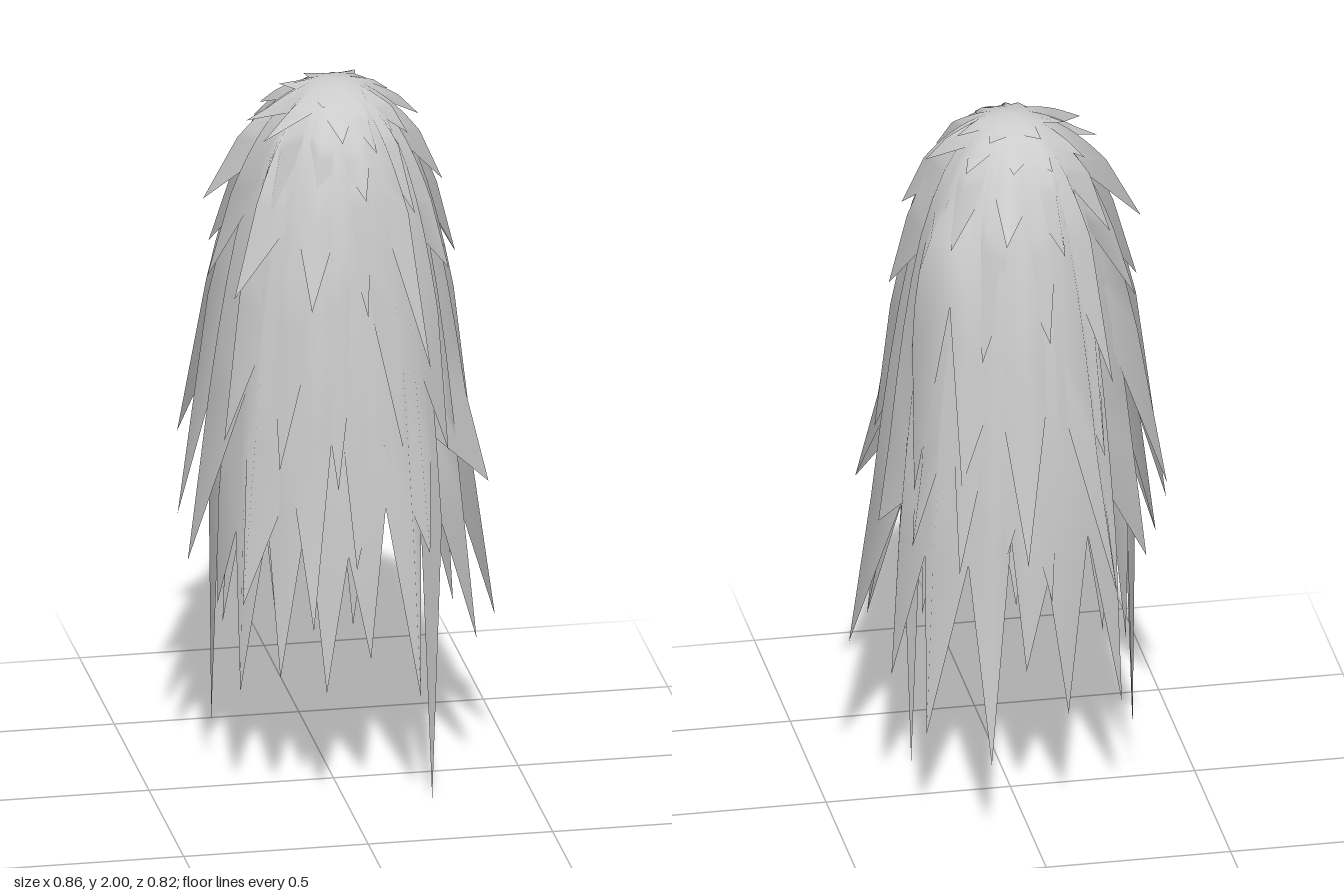
import * as THREE from 'three';

const TAU = Math.PI * 2;
const ROWS = 10;
const { smoothstep } = THREE.MathUtils;

// Radius of the hanging dome at a given drop below the crown
const domeRadius = (drop) => 0.29 * (1 - Math.exp(-2.6 * Math.pow(drop, 0.55))) + 0.045 * drop;

// One shaggy layer: a pleated dome split into pointed locks.
// tips: lock ends [x, y, z]; notch: height where locks part; vary: notch unevenness
function lockLayer(name, { scale, notch, vary, tips, bulge = 0 }) {
  const locks = tips
    .map(([x, y, z]) => ({ x, y, z, a: (Math.atan2(z, x) + TAU) % TAU }))
    .sort((p, q) => p.a - q.a);
  const n = locks.length;

  // Alternating columns: even = lock middle flaring toward its tip, odd = notch between locks
  const columns = [];
  const notchDrop = (i) => 2 - notch + vary * Math.sin(i * 2.4 + n);
  locks.forEach((lock, i) => {
    const nextA = i + 1 < n ? locks[i + 1].a : locks[0].a + TAU;
    const drop = (notchDrop((i + n - 1) % n) + notchDrop(i)) / 2;
    const flare = 0.4 * Math.max(0, Math.hypot(lock.x, lock.z) - domeRadius(drop));
    columns.push({ a: lock.a, drop, ridge: 1.03, flare });
    columns.push({ a: (lock.a + nextA) / 2, drop: notchDrop(i), ridge: 0.97, flare: 0 });
  });
  const m = columns.length;

  const positions = [];
  const index = [];
  for (let k = 0; k <= ROWS; k++) {
    const t = (k / ROWS) ** 2;
    for (const c of columns) {
      const drop = c.drop * t;
      // Local swelling on one side of the layer, fading out downward
      const away = Math.atan2(Math.sin(c.a - 5.68), Math.cos(c.a - 5.68));
      const swell = bulge * Math.exp(-((away / 0.3) ** 2))
        * smoothstep(drop, 0.15, 0.34) * (1 - smoothstep(drop, 0.34, 0.95));
      const r = domeRadius(drop) * scale * c.ridge + c.flare * t + swell;
      positions.push(r * Math.cos(c.a), 2 - drop, r * Math.sin(c.a));
    }
  }
  for (let k = 0; k < ROWS; k++) {
    for (let j = 0; j < m; j++) {
      const a = k * m + j, b = k * m + ((j + 1) % m);
      if (k > 0) index.push(a, b, a + m);
      index.push(b, b + m, a + m);
    }
  }
  // Pointed ends
  const edge = ROWS * m;
  locks.forEach((lock, i) => {
    const tip = positions.length / 3;
    positions.push(lock.x, lock.y, lock.z);
    const mid = edge + i * 2;
    const left = edge + ((i * 2 - 1 + m) % m);
    index.push(left, mid, tip, mid, mid + 1, tip);
  });

  const geometry = new THREE.BufferGeometry();
  geometry.setAttribute('position', new THREE.Float32BufferAttribute(positions, 3));
  geometry.setIndex(index);
  geometry.computeVertexNormals();
  const mesh = new THREE.Mesh(
    geometry,
    new THREE.MeshStandardMaterial({ color: 0xcccccc, side: THREE.DoubleSide })
  );
  mesh.name = name;
  return mesh;
}

// Layers from the longest and innermost to the small crown tuft
const LAYERS = {
  longLocks: {
    scale: 0.99, notch: 0.82, vary: 0.07,
    tips: [
      [0.43, 0.45, 0.04], [0.35, 0.45, 0.2], [0.23, 0, 0.2], [0.17, 0.35, 0.36], [0.04, 0.46, 0.33],
      [-0.08, 0.37, 0.33], [-0.2, 0.41, 0.3], [-0.29, 0.34, 0.2], [-0.33, 0.55, 0.08],
      [-0.32, 0.17, -0.06], [-0.28, 0.5, -0.17], [-0.25, 0.36, -0.27], [-0.1, 0.35, -0.3],
      [0.02, 0.5, -0.33], [0.13, 0.27, -0.41], [0.28, 0.31, -0.27], [0.35, 0.43, -0.14],
    ],
  },
  middleLocks: {
    scale: 1.0, notch: 1.1, vary: 0.15, bulge: 0.04,
    tips: [
      [0.39, 0.88, 0.16], [0.2, 0.75, 0.33], [0, 0.72, 0.34], [-0.13, 0.58, 0.41], [-0.3, 0.62, 0.29],
      [-0.41, 0.68, 0.08], [-0.33, 0.75, -0.2], [-0.21, 0.75, -0.41], [-0.05, 0.7, -0.33],
      [0.1, 0.75, -0.33], [0.2, 0.8, -0.32], [0.31, 0.85, -0.23], [0.37, 0.85, -0.06],
    ],
  },
  outerLocks: {
    scale: 1.01, notch: 1.42, vary: 0.12, bulge: 0.07,
    tips: [
      [0.35, 1.05, 0.1], [0.27, 1, 0.22], [0.13, 1.05, 0.31], [-0.05, 0.95, 0.34], [-0.2, 1, 0.29],
      [-0.33, 1.05, 0.18], [-0.43, 0.8, 0.04], [-0.39, 0.95, -0.18], [-0.2, 1.1, -0.29],
      [0.03, 0.85, -0.41], [0.19, 1.05, -0.3], [0.3, 1.0, -0.2],
    ],
  },
  shortLocks: {
    scale: 1.01, notch: 1.7, vary: 0.06,
    tips: [
      [0.32, 1.5, 0.05], [0.28, 1.5, 0.17], [0.2, 1.28, 0.34], [0.04, 1.42, 0.29], [-0.12, 1.46, 0.33],
      [-0.31, 1.47, 0.22], [-0.35, 1.47, 0.04], [-0.31, 1.5, -0.15], [-0.22, 1.32, -0.3],
      [-0.05, 1.45, -0.3], [0.13, 1.4, -0.28], [0.27, 1.5, -0.17],
    ],
  },
  upperLocks: {
    scale: 1.01, notch: 1.85, vary: 0.03,
    tips: [
      [0.28, 1.72, 0.08], [0.18, 1.68, 0.22], [0.04, 1.74, 0.26], [-0.1, 1.62, 0.27], [-0.21, 1.68, 0.18],
      [-0.35, 1.67, -0.02], [-0.24, 1.7, -0.16], [-0.1, 1.68, -0.25], [0.07, 1.75, -0.31], [0.2, 1.7, -0.2],
    ],
  },
  capLocks: {
    scale: 1.02, notch: 1.935, vary: 0.015,
    tips: [
      [0.23, 1.88, 0], [0.18, 1.87, 0.11], [0.08, 1.85, 0.2], [-0.02, 1.9, 0.24], [-0.22, 1.89, 0.16],
      [-0.24, 1.9, 0.02], [-0.18, 1.9, -0.11], [-0.08, 1.9, -0.18], [0.03, 1.91, -0.2], [0.15, 1.9, -0.15],
    ],
  },
  crownTuft: {
    scale: 1.03, notch: 1.978, vary: 0.005,
    tips: [
      [0.15, 1.95, -0.02], [0.08, 1.955, 0.1], [-0.05, 1.96, 0.12],
      [-0.14, 1.975, -0.04], [-0.06, 1.97, -0.12], [0.08, 1.97, -0.12],
    ],
  },
};

export function createModel() {
  const group = new THREE.Group();
  group.name = 'shaggyLocks';
  for (const [name, options] of Object.entries(LAYERS)) group.add(lockLayer(name, options));
  return group;
}
